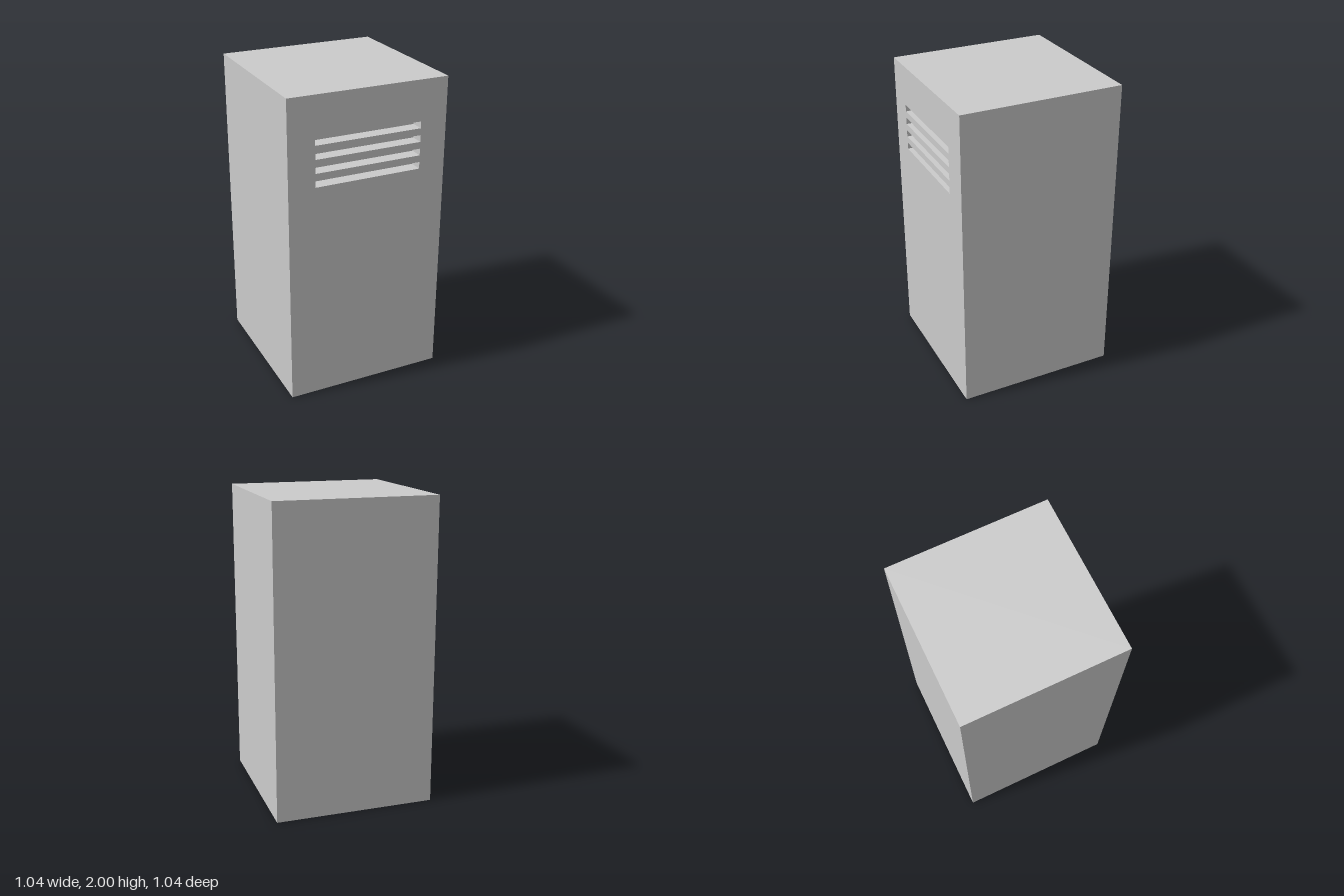
import * as THREE from 'three';

const U = 2 / 46; // design grid step
const WIDTH = 24 * U, HEIGHT = 46 * U;
const SLOT_WIDTH = 16 * U, SLOT_HEIGHT = U, SLOT_DEPTH = 2 * U;

// Box without its +z face; inward turns it into the lining of a recess
function openBox(w, h, d, inward = false) {
  const geometry = new THREE.BoxGeometry(w, h, d);
  const index = Array.from(geometry.index.array);
  index.splice(24, 6);
  if (inward) index.reverse();
  geometry.setIndex(index);
  geometry.clearGroups();
  geometry.computeVertexNormals();
  return geometry;
}

// Rectangle outline centred on x = 0
function rectangle(path, w, bottom, top) {
  path.moveTo(-w / 2, bottom);
  path.lineTo(w / 2, bottom);
  path.lineTo(w / 2, top);
  path.lineTo(-w / 2, top);
  path.closePath();
  return path;
}

export function createModel() {
  const group = new THREE.Group();
  group.name = 'locker';
  const material = new THREE.MeshStandardMaterial({ color: 0xcccccc });

  function add(name, geometry, y, z) {
    const mesh = new THREE.Mesh(geometry, material);
    mesh.name = name;
    mesh.position.set(0, y, z);
    group.add(mesh);
  }

  // Sides, back, top and bottom
  add('cabinetBody', openBox(WIDTH, HEIGHT, WIDTH), HEIGHT / 2, 0);

  // Front panel pierced by four vent slots, each lined by a recess
  const front = rectangle(new THREE.Shape(), WIDTH, 0, HEIGHT);
  for (let i = 0; i < 4; i++) {
    const bottom = (33 + 2 * i) * U;
    front.holes.push(rectangle(new THREE.Path(), SLOT_WIDTH, bottom, bottom + SLOT_HEIGHT));
    add(`ventSlot${i + 1}`, openBox(SLOT_WIDTH, SLOT_HEIGHT, SLOT_DEPTH, true),
      bottom + SLOT_HEIGHT / 2, WIDTH / 2 - SLOT_DEPTH / 2);
  }
  add('frontPanel', new THREE.ShapeGeometry(front), 0, WIDTH / 2);

  return group;
}
